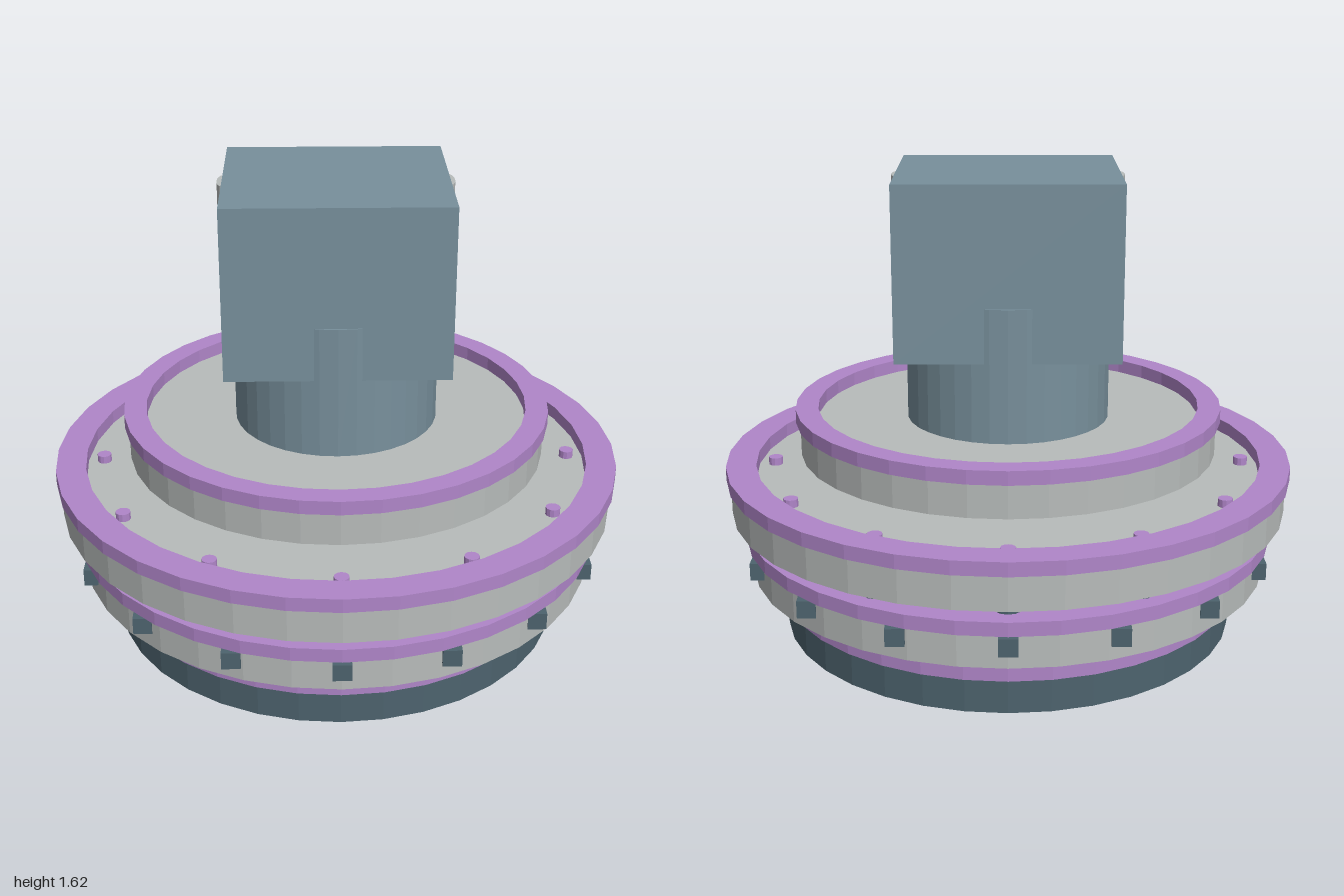
import * as THREE from 'three';

const SIDES = 36;

function material(name, color) {
  const m = new THREE.MeshStandardMaterial({ color });
  m.name = name;
  return m;
}

// faceted geometry: split the shared vertices and use face normals
function faceted(geometry) {
  const g = geometry.index ? geometry.toNonIndexed() : geometry;
  g.computeVertexNormals();
  return g;
}

export function createModel() {
  const steel = material('steel blue', 0x78909c);
  const dark = material('dark slate', 0x4d636e);
  const grey = material('light grey', 0xb8bcbb);
  const purple = material('purple', 0xb086c9);

  const model = new THREE.Group();
  model.name = 'tieredStation';

  function add(parent, name, geometry, mat, x = 0, y = 0, z = 0) {
    const mesh = new THREE.Mesh(geometry, mat);
    mesh.name = name;
    mesh.position.set(x, y, z);
    parent.add(mesh);
    return mesh;
  }

  function cylinder(r, y0, y1, sides = SIDES) {
    return faceted(new THREE.CylinderGeometry(r, r, y1 - y0, sides)).translate(0, (y0 + y1) / 2, 0);
  }

  // rectangular-section ring
  function rim(inner, outer, y0, y1) {
    const profile = [[inner, y0], [outer, y0], [outer, y1], [inner, y1], [inner, y0]];
    return faceted(new THREE.LatheGeometry(profile.map(([x, y]) => new THREE.Vector2(x, y)), SIDES));
  }

  // a circle of copies, all keeping the same orientation
  function around(name, count, radius, geometry, mat) {
    const group = new THREE.Group();
    group.name = name + 's';
    for (let i = 0; i < count; i++) {
      const a = (i / count) * Math.PI * 2;
      add(group, name, geometry, mat, Math.sin(a) * radius, 0, Math.cos(a) * radius);
    }
    model.add(group);
  }

  // tiers: disc radius, bottom, disc top, rim outer radius, rim top
  const tiers = [
    ['base', 0.805, 0, 0.12, 0.82, 0.168, dark],
    ['lowerDeck', 0.92, 0.218, 0.335, 0.94, 0.383, grey],
    ['mainDeck', 0.985, 0.44, 0.56, 1.0, 0.608, grey],
    ['upperDeck', 0.735, 0.638, 0.755, 0.75, 0.803, grey],
  ];
  for (const [name, r, y0, y1, rimR, rimTop, mat] of tiers) {
    const tier = new THREE.Group();
    tier.name = name;
    add(tier, name + 'Disc', cylinder(r, y0, y1), mat);
    add(tier, name + 'Rim', rim(rimR * 0.895, rimR, y1, rimTop), purple);
    model.add(tier);
  }

  // posts between the decks, lamps on the main deck, blocks round the lower deck
  around('post', 12, 0.837, cylinder(0.046, 0.335, 0.44, 12), dark);
  around('lamp', 12, 0.837, cylinder(0.025, 0.56, 0.587, 12), purple);
  around('block', 16, 0.92, new THREE.BoxGeometry(0.062, 0.06, 0.062).translate(0, 0.303, 0), dark);

  // central column running up into the square tower
  add(model, 'column', cylinder(0.356, 0.755, 1.215), steel);
  add(model, 'tower', new THREE.BoxGeometry(0.755, 0.593, 0.692), steel, 0, 1.326, 0);

  // shallow rounded strips on the two sides of the tower
  for (const side of [1, -1]) {
    const strip = faceted(new THREE.CylinderGeometry(1, 1, 0.437, 16).scale(0.021, 1, 0.064));
    add(model, side > 0 ? 'leftStrip' : 'rightStrip', strip, grey, side * 0.3765, 1.388, 0);
  }

  return model;
}
